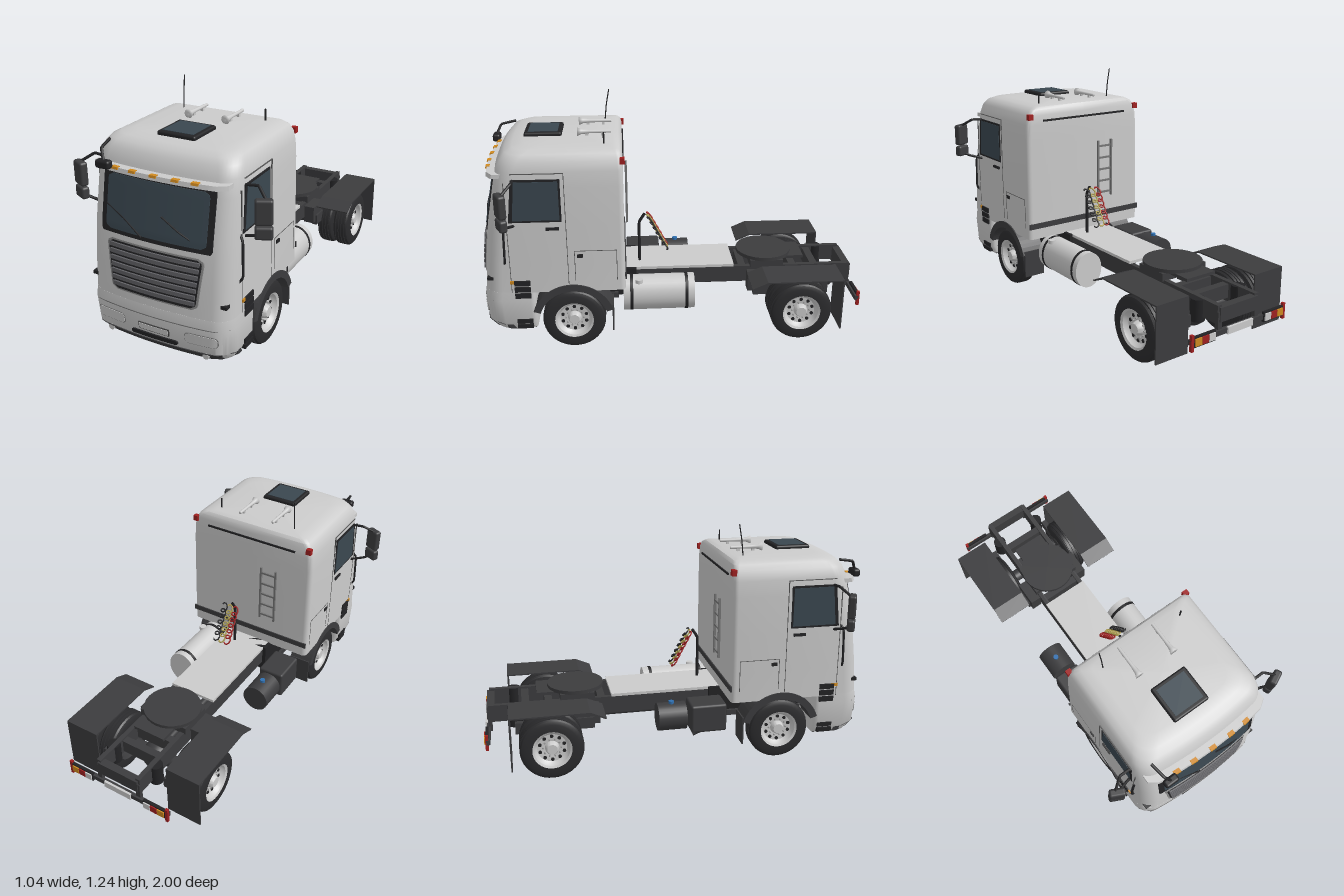
import * as THREE from 'three';
import { toCreasedNormals } from 'three/addons/utils/BufferGeometryUtils.js';
import { RoundedBoxGeometry } from 'three/addons/geometries/RoundedBoxGeometry.js';

const GREY = 0xcccccc, DARK = 0x3c3c3e, BLACK = 0x232325, GLASS = 0x3a4750, ORANGE = 0xd08a20, RED = 0xa02020;
const V = (x, y, z) => new THREE.Vector3(x, y, z);

// Cab sections: height, half width, front z, back z
const CAB = [[0.34, 0.374, 0.992, 0.26], [0.5, 0.374, 0.98, 0.26], [0.7, 0.373, 0.955, 0.26], [0.9, 0.371, 0.915, 0.26],
  [0.98, 0.366, 0.897, 0.26], [1.03, 0.355, 0.875, 0.262], [1.058, 0.335, 0.848, 0.268], [1.073, 0.305, 0.81, 0.28], [1.08, 0.26, 0.75, 0.31]];
const BUMPER = [[0.125, 0.355, 0.955, 0.72], [0.17, 0.372, 0.99, 0.72], [0.295, 0.376, 1.0, 0.72], [0.345, 0.374, 0.992, 0.72]];

// Surface of the cab front at (x, y): bowed face with rounded corners
function frontZ(x, y) {
  const t = [...BUMPER.slice(0, 3), ...CAB];
  let i = 0;
  while (i < t.length - 2 && t[i + 1][0] < y) i++;
  const k = THREE.MathUtils.clamp((y - t[i][0]) / (t[i + 1][0] - t[i][0]), 0, 1);
  const W = THREE.MathUtils.lerp(t[i][1], t[i + 1][1], k), r = 0.08;
  const c = THREE.MathUtils.clamp(Math.abs(x) - (W - r), 0, r);
  return THREE.MathUtils.lerp(t[i][2], t[i + 1][2], k) - 0.03 * (x / 0.37) ** 2 - r + Math.sqrt(r * r - c * c);
}

// Body shell lofted through horizontal sections
function loft(levels) {
  const pos = [], idx = [];
  let n = 0;
  for (const [y, W, zf, zb] of levels) {
    const half = [[0, zb]], bow = x => 0.03 * (x / 0.37) ** 2;
    for (let i = 0; i <= 4; i++) {
      const a = i * Math.PI / 8;
      half.push([W - 0.025 + 0.025 * Math.sin(a), zb + 0.025 - 0.025 * Math.cos(a)]);
    }
    for (let i = 0; i <= 8; i++) {
      const a = i * Math.PI / 16, x = W - 0.08 + 0.08 * Math.cos(a);
      half.push([x, zf - bow(x) - 0.08 + 0.08 * Math.sin(a)]);
    }
    for (const t of [0.75, 0.5, 0.25, 0]) half.push([(W - 0.08) * t, zf - bow((W - 0.08) * t)]);
    const ring = [...half, ...half.slice(1, -1).reverse().map(([x, z]) => [-x, z])];
    n = ring.length;
    ring.forEach(([x, z]) => pos.push(x, y, z));
  }
  const top = (levels.length - 1) * n, c = levels.length * n, L = levels[levels.length - 1], B = levels[0];
  pos.push(0, B[0], (B[2] + B[3]) / 2, 0, L[0], (L[2] + L[3]) / 2);
  for (let i = 0; i < n; i++) {
    const j = (i + 1) % n;
    for (let r = 0; r < top; r += n) idx.push(r + i, r + n + i, r + j, r + j, r + n + i, r + n + j);
    idx.push(c, i, j, c + 1, top + j, top + i);
  }
  const g = new THREE.BufferGeometry();
  g.setAttribute('position', new THREE.Float32BufferAttribute(pos, 3));
  g.setIndex(idx);
  return toCreasedNormals(g, 0.6);
}

export function createModel() {
  const model = new THREE.Group();
  const mats = {};
  const mat = c => mats[c] ??= new THREE.MeshStandardMaterial({ color: c, side: THREE.DoubleSide });
  const add = (name, geo, color, x = 0, y = 0, z = 0, parent = model) => {
    const m = new THREE.Mesh(geo, mat(color));
    m.name = name; m.position.set(x, y, z); parent.add(m);
    return m;
  };
  // Box given by its extents
  const box = (name, color, x0, x1, y0, y1, z0, z1) =>
    add(name, new THREE.BoxGeometry(Math.abs(x1 - x0), y1 - y0, z1 - z0), color, (x0 + x1) / 2, (y0 + y1) / 2, (z0 + z1) / 2);
  const cyl = (name, color, r, len, axis, x, y, z, r2 = r) => {
    const g = new THREE.CylinderGeometry(r2, r, len, 28);
    if (axis === 'x') g.rotateZ(-Math.PI / 2);
    if (axis === 'z') g.rotateX(Math.PI / 2);
    return add(name, g, color, x, y, z);
  };
  const tube = (name, color, r, pts, seg = 16) => add(name, new THREE.TubeGeometry(
    new THREE.CatmullRomCurve3(pts.map(p => V(...p)), false, 'catmullrom', 0.1), seg, r, 8), color);
  // Panel bent onto the cab front, with corner radius and lower taper
  const panel = (name, color, x, w, y0, y1, off, thick = 0.012, r = 0, taper = 0) => {
    const h = y1 - y0, g = new THREE.BoxGeometry(w, h, thick, 16, 20, 1), p = g.attributes.position;
    for (let i = 0; i < p.count; i++) {
      const y = p.getY(i) + (y0 + y1) / 2, d = Math.min(y - y0, y1 - y, r);
      const cut = r ? r - Math.sqrt(Math.max(0, r * r - (r - d) ** 2)) : 0;
      const px = x + p.getX(i) * (1 - 2 * cut / w) * (1 - taper * (y1 - y) / h);
      p.setXYZ(i, px, y, frontZ(px, y) + off + p.getZ(i) - thick / 2);
    }
    return add(name, toCreasedNormals(g, 0.6), color);
  };
  // Side plate from (z, y) points, centred on x
  const plate = (name, color, pts, x, t) => {
    const s = new THREE.Shape(pts.map(([z, y]) => new THREE.Vector2(z, y)));
    const g = new THREE.ExtrudeGeometry(s, { depth: t, bevelEnabled: false, curveSegments: 24 });
    return add(name, g.rotateY(-Math.PI / 2), color, x + t / 2);
  };

  // Cab shell, bumper and front trim
  add('cab', loft(CAB), GREY);
  add('bumper', loft(BUMPER), GREY);
  box('underFloor', BLACK, -0.34, 0.34, 0.118, 0.127, 0.73, 0.87);
  panel('windshieldFrame', BLACK, 0, 0.58, 0.655, 0.94, 0.006, 0.02, 0.008);
  panel('windshield', GLASS, 0, 0.525, 0.675, 0.925, 0.009, 0.015, 0.025);
  panel('sunVisor', GREY, 0, 0.69, 0.945, 0.966, 0.04, 0.045);
  for (const x of [-0.205, -0.11, 0, 0.11, 0.205]) panel('markerLamp', ORANGE, x, 0.035, 0.958, 0.969, 0.046, 0.02);
  panel('grilleFrame', 0x8a8a8a, 0, 0.515, 0.385, 0.63, 0.006, 0.02, 0.03, 0.12);
  panel('grilleOpening', BLACK, 0, 0.495, 0.393, 0.622, 0.008, 0.02, 0.025, 0.12);
  for (let i = 0; i < 7; i++) {
    const y = 0.41 + i * 0.031;
    panel('grilleSlat', 0x606064, 0, 0.43 + i * 0.007, y, y + 0.018, 0.016, 0.016);
  }
  panel('bumperSeam', 0x666666, 0, 0.73, 0.296, 0.299, 0.002, 0.006);
  panel('lowerBumper', DARK, 0, 0.73, 0.128, 0.17, 0.006, 0.03);
  panel('bumperSlot', BLACK, 0, 0.25, 0.181, 0.202, 0.008, 0.02, 0.01);
  panel('plateFrame', 0x444444, 0, 0.165, 0.216, 0.252, 0.005);
  panel('plateBlank', GREY, 0, 0.157, 0.22, 0.248, 0.007);
  for (const s of [1, -1]) {
    panel('headlightSeam', 0x777777, s * 0.243, 0.162, 0.209, 0.266, 0.003, 0.012, 0.02);
    panel('headlight', 0xc4c4c4, s * 0.243, 0.156, 0.212, 0.263, 0.005, 0.012, 0.018);
    cyl('fogLamp', GREY, 0.016, 0.02, 'z', s * 0.26, 0.155, frontZ(s * 0.26, 0.155) + 0.003);
    tube('wiper', BLACK, 0.004, s > 0 ? [[0.24, 0.675, 0.945], [0.13, 0.735, 0.958], [0.04, 0.785, 0.95]]
      : [[-0.06, 0.675, 0.972], [-0.16, 0.735, 0.95], [-0.265, 0.785, 0.93]]);
  }

  // Cab sides, mirrored
  for (const s of [1, -1]) {
    const X = s * 0.372;
    plate('windowFrame', BLACK, [[0.565, 0.725], [0.825, 0.725], [0.80, 0.945], [0.565, 0.945]], s * 0.368, 0.013);
    plate('sideWindow', GLASS, [[0.575, 0.735], [0.805, 0.735], [0.785, 0.935], [0.575, 0.935]], s * 0.369, 0.015);
    const seam = (z0, z1, y0, y1) => box('seam', 0x555555, X - 0.003, X + 0.003, y0, y1, z0, z1);
    seam(0.545, 0.548, 0.38, 0.975); seam(0.545, 0.80, 0.973, 0.976); seam(0.833, 0.836, 0.34, 0.93);
    seam(0.30, 0.303, 0.4, 0.565); seam(0.51, 0.513, 0.4, 0.565); seam(0.30, 0.513, 0.563, 0.566);
    box('doorHandle', BLACK, X, s * 0.382, 0.683, 0.697, 0.58, 0.645);
    box('lockerHandle', BLACK, X, s * 0.38, 0.53, 0.547, 0.47, 0.5);
    for (const y of [0.31, 0.345, 0.38]) box('step', BLACK, s * 0.34, s * 0.381, y, y + 0.028, 0.74, 0.82);
    for (const y of [0.135, 0.165]) box('lowerStep', BLACK, s * 0.34, s * 0.379, y, y + 0.022, 0.74, 0.82);
    box('turnSignal', ORANGE, s * 0.36, s * 0.38, 0.392, 0.408, 0.80, 0.84);
    box('cornerVent', BLACK, s * 0.33, s * 0.36, 0.408, 0.424, 0.92, 0.955);
    tube('grabRail', BLACK, 0.006, [[s * 0.366, 0.73, 0.84], [s * 0.385, 0.70, 0.85], [s * 0.388, 0.53, 0.855], [s * 0.366, 0.5, 0.86]]);
    tube('mirrorArm', BLACK, 0.007, [[s * 0.36, 0.94, 0.79], [s * 0.43, 0.947, 0.79], [s * 0.49, 0.905, 0.835]]);
    tube('mirrorLowerArm', BLACK, 0.007, [[s * 0.365, 0.705, 0.80], [s * 0.44, 0.73, 0.82], [s * 0.48, 0.75, 0.84]]);
    add('mirror', new RoundedBoxGeometry(0.08, 0.118, 0.04, 3, 0.012), DARK, s * 0.48, 0.857, 0.84).rotation.y = s * 0.45;
    add('lowerMirror', new RoundedBoxGeometry(0.08, 0.06, 0.04, 3, 0.012), DARK, s * 0.48, 0.762, 0.84).rotation.y = s * 0.45;
    box('rearMarker', RED, s * 0.335, s * 0.363, 1.01, 1.04, 0.25, 0.275);
    // Horns on the roof
    add('horn', new THREE.LatheGeometry([[0, 0], [0.008, 0], [0.009, 0.11], [0.013, 0.15], [0.022, 0.17], [0, 0.165]]
      .map(p => new THREE.Vector2(...p)), 20).rotateX(Math.PI / 2), GREY, s * 0.1, 1.1, 0.315);
    for (const z of [0.35, 0.43]) box('hornFoot', GREY, s * 0.1 - 0.006, s * 0.1 + 0.006, 1.07, 1.1, z, z + 0.015);
    // Front wheel arch
    const arch = [[0.215, 0], [0.178, 1]].flatMap(([r, rev]) => Array.from({ length: 25 }, (_, i) => {
      const a = Math.PI * (0.1 + 0.8 * (rev ? 24 - i : i) / 24);
      return [0.53 + r * Math.cos(a), 0.163 + r * Math.sin(a)];
    }));
    plate('wheelArch', DARK, arch, s * 0.315, 0.13);
    box('frontMudflap', DARK, s * 0.25, s * 0.37, 0.1, 0.25, 0.325, 0.332);
    // Rear mudguard with flap
    plate('rearMudguard', DARK, [[-0.39, 0.33], [-0.47, 0.365], [-0.87, 0.365], [-0.87, 0.08],
      [-0.863, 0.08], [-0.863, 0.358], [-0.472, 0.358], [-0.392, 0.323]], s * 0.307, 0.19);
  }

  // Roof and cab back
  add('hatchFrame', new RoundedBoxGeometry(0.2, 0.03, 0.19, 2, 0.01), BLACK, 0, 1.083, 0.66);
  box('hatchGlass', GLASS, -0.08, 0.08, 1.09, 1.1, 0.585, 0.735);
  tube('antenna', BLACK, 0.003, [[-0.213, 1.07, 0.35], [-0.215, 1.16, 0.34], [-0.218, 1.24, 0.325]]);
  tube('shortAntenna', BLACK, 0.004, [[0.24, 1.07, 0.35], [0.24, 1.135, 0.35]]);
  tube('kerbMirrorArm', BLACK, 0.007, [[-0.295, 1.055, 0.84], [-0.28, 1.04, 0.92], [-0.255, 0.99, 0.945]]);
  add('kerbMirror', new RoundedBoxGeometry(0.075, 0.04, 0.04, 3, 0.012), BLACK, -0.255, 0.977, 0.945);
  box('upperBackStrip', BLACK, -0.27, 0.27, 0.995, 1.005, 0.254, 0.262);
  box('lowerBackStrip', DARK, -0.372, 0.372, 0.40, 0.43, 0.254, 0.262);
  for (const x of [-0.17, -0.08]) box('ladderRail', 0x777777, x - 0.005, x + 0.005, 0.52, 0.85, 0.238, 0.25);
  for (let i = 0; i < 5; i++) box('ladderRung', 0x777777, -0.17, -0.08, 0.54 + i * 0.068, 0.55 + i * 0.068, 0.24, 0.25);

  // Air line post and coiled hoses
  tube('hosePost', BLACK, 0.008, [[0.045, 0.34, 0.18], [0.045, 0.57, 0.18], [0.045, 0.62, 0.15]]);
  [RED, 0xb0a050, BLACK].forEach((c, i) => {
    const pts = Array.from({ length: 73 }, (_, k) => {
      const t = k / 72, a = t * Math.PI * 12;
      return [0.01 + i * 0.035 + 0.016 * Math.cos(a), 0.61 - 0.18 * t + 0.012 * Math.sin(a), 0.13 - 0.095 * t + 0.012 * Math.sin(a)];
    });
    tube('airHose', c, 0.004, pts, 160);
  });

  // Chassis frame
  for (const s of [1, -1]) {
    box('frameRail', DARK, s * 0.105, s * 0.13, 0.24, 0.33, -0.97, 0.9);
    cyl('airSpring', BLACK, 0.035, 0.11, 'y', s * 0.13, 0.27, -0.84);
    box('suspensionArm', DARK, s * 0.17, s * 0.2, 0.19, 0.25, -0.84, -0.43);
    box('springBracket', DARK, s * 0.13, s * 0.19, 0.21, 0.31, -0.54, -0.4);
    box('frontSpring', DARK, s * 0.13, s * 0.165, 0.18, 0.21, 0.3, 0.76);
  }
  for (const z of [-0.96, -0.78, -0.66, -0.38]) box('crossmember', DARK, -0.12, 0.12, 0.25, 0.32, z - 0.02, z + 0.02);
  box('deckPlate', GREY, -0.132, 0.132, 0.33, 0.345, -0.33, 0.26);
  box('engine', BLACK, -0.15, 0.15, 0.19, 0.345, 0.2, 0.9);
  cyl('couplingPlate', DARK, 0.15, 0.02, 'y', 0, 0.373, -0.51);
  box('couplingRamp', DARK, -0.09, 0.09, 0.35, 0.366, -0.72, -0.5);
  box('couplingBase', DARK, -0.14, 0.14, 0.325, 0.365, -0.6, -0.42);
  cyl('propShaft', DARK, 0.018, 0.85, 'z', 0, 0.19, -0.22);
  cyl('rearAxle', DARK, 0.035, 0.5, 'x', 0, 0.163, -0.663);
  cyl('frontAxle', DARK, 0.025, 0.55, 'x', 0, 0.163, 0.53);
  add('differential', new THREE.SphereGeometry(0.078, 24, 16), DARK, 0, 0.165, -0.663);

  // Fuel tank
  cyl('fuelTank', GREY, 0.082, 0.375, 'z', 0.23, 0.248, 0.085).scale.y = 1.18;
  for (const z of [-0.06, 0.23]) cyl('tankBand', BLACK, 0.084, 0.016, 'z', 0.23, 0.248, z).scale.y = 1.18;
  cyl('tankCap', 0xdddddd, 0.02, 0.02, 'y', 0.275, 0.335, 0.19);
  // Air tank, silencer box and exhaust pipe
  cyl('airTank', DARK, 0.073, 0.15, 'z', -0.262, 0.25, -0.035);
  cyl('airTankCap', 0x3070b0, 0.014, 0.015, 'y', -0.265, 0.328, -0.035);
  add('silencerBox', new RoundedBoxGeometry(0.146, 0.15, 0.19, 2, 0.012), DARK, -0.262, 0.245, 0.155);
  tube('exhaustPipe', DARK, 0.018, [[-0.22, 0.19, 0.2], [-0.22, 0.145, 0.15], [-0.22, 0.12, 0.09]]);

  // Tail bar with lamps and blank plate
  box('tailBar', DARK, -0.3, 0.3, 0.19, 0.215, -0.985, -0.965);
  for (const s of [1, -1]) {
    box('tailBracket', DARK, s * 0.105, s * 0.13, 0.19, 0.3, -0.975, -0.955);
    box('lampHousing', BLACK, s * 0.155, s * 0.285, 0.178, 0.228, -0.99, -0.975);
    [GREY, RED, ORANGE].forEach((c, i) => box('tailLamp', c, s * (0.16 + i * 0.041), s * (0.198 + i * 0.041), 0.185, 0.221, -0.996, -0.985));
    box('sideReflector', RED, s * 0.285, s * 0.3, 0.16, 0.24, -0.99, -0.975);
  }
  box('rearPlate', GREY, -0.08, 0.08, 0.185, 0.22, -0.992, -0.98);

  // Wheels
  const lathe = pts => toCreasedNormals(new THREE.LatheGeometry(pts.map(p => new THREE.Vector2(...p)), 40), 0.5).rotateZ(-Math.PI / 2);
  const side = [[0.1, -0.048], [0.138, -0.048], [0.155, -0.04], [0.161, -0.031], [0.156, -0.029], [0.156, -0.026],
    [0.163, -0.025], [0.163, -0.011], [0.157, -0.01], [0.157, -0.007], [0.163, -0.006]];
  const tyre = lathe([...side, ...side.slice().reverse().map(([r, x]) => [r, -x])]);
  const rim = lathe([[0, 0.04], [0.026, 0.04], [0.032, 0.03], [0.036, 0.012], [0.075, 0.016], [0.084, 0.026], [0.09, 0.04], [0.102, 0.046], [0.102, -0.046], [0.09, -0.04], [0.085, 0]]);
  const wheel = (name, x, z, s, outer) => {
    const g = new THREE.Group();
    g.name = name; g.position.set(s * x, 0.163, z);
    if (s < 0) g.rotation.y = Math.PI;
    add('tyre', tyre, 0x2c2c2e, 0, 0, 0, g);
    add('rim', rim, outer ? GREY : DARK, 0, 0, 0, g);
    for (let i = 0; outer && i < 10; i++) {
      const a = i * Math.PI / 5, hole = new THREE.CylinderGeometry(0.009, 0.009, 0.012, 12).rotateZ(Math.PI / 2);
      add('rimHole', hole, BLACK, 0.013, 0.064 * Math.cos(a), 0.064 * Math.sin(a), g);
      add('wheelNut', new THREE.CylinderGeometry(0.004, 0.004, 0.016, 6).rotateZ(Math.PI / 2), 0x999999, 0.014, 0.046 * Math.cos(a + 0.3), 0.046 * Math.sin(a + 0.3), g);
    }
    model.add(g);
  };
  for (const s of [1, -1]) {
    wheel('frontWheel', 0.315, 0.53, s, true);
    wheel('rearOuterWheel', 0.32, -0.663, s, true);
    wheel('rearInnerWheel', 0.218, -0.663, s, false);
  }
  return model;
}
